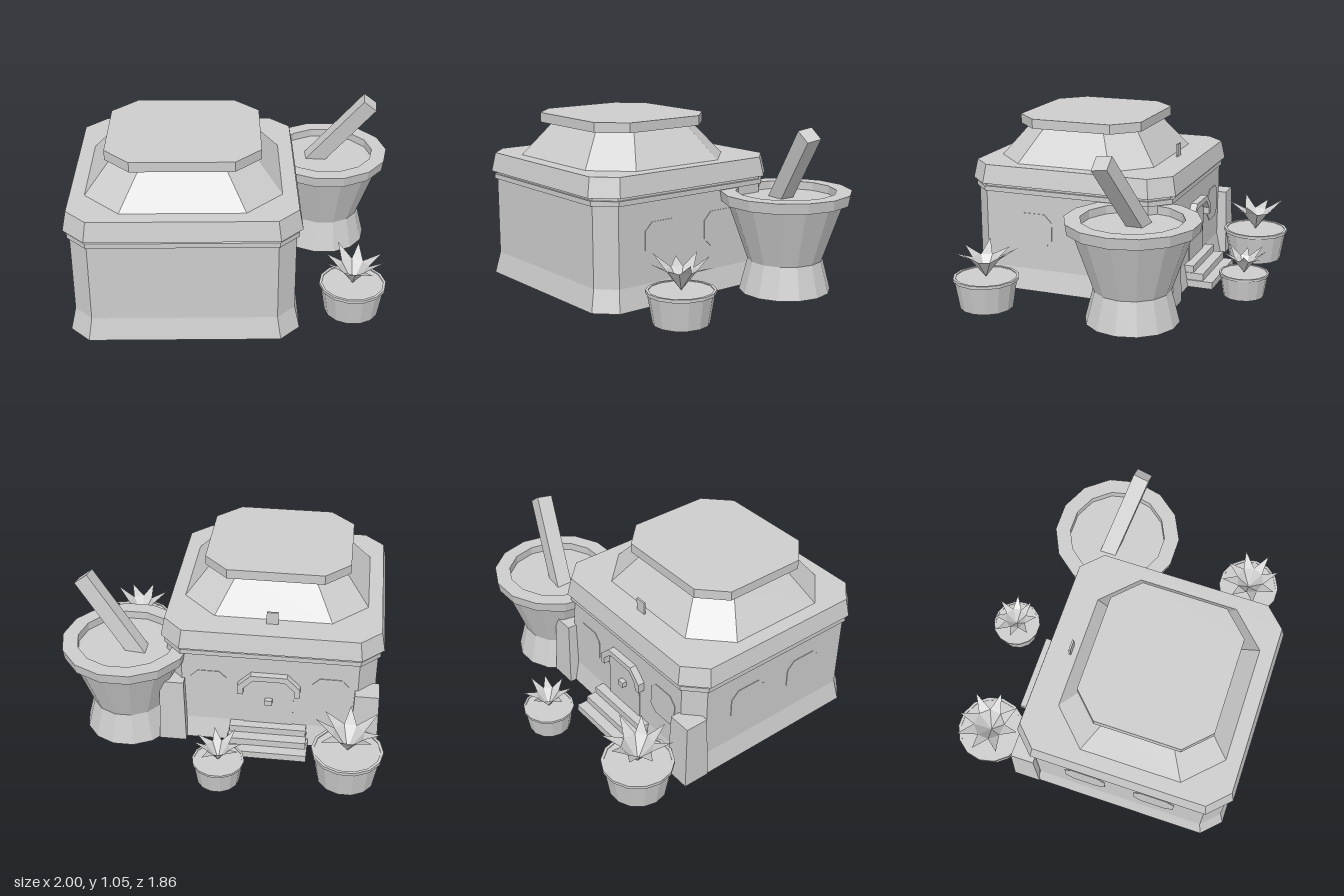
import * as THREE from 'three';

const stone = new THREE.MeshStandardMaterial({ color: 0xcccccc, flatShading: true, side: THREE.DoubleSide });
stone.name = 'light grey';

// Building centre in plan
const CX = -0.29, CZ = 0.255;

function add(parent, name, geometry, x = 0, y = 0, z = 0) {
  const mesh = new THREE.Mesh(geometry, stone);
  mesh.name = name;
  mesh.position.set(x, y, z);
  parent.add(mesh);
  return mesh;
}

// Rectangle with cut corners, counter-clockwise
function cutRect(hx, hy, c) {
  return [[hx, -hy + c], [hx, hy - c], [hx - c, hy], [-hx + c, hy],
    [-hx, hy - c], [-hx, -hy + c], [-hx + c, -hy], [hx - c, -hy]];
}

function triangles(points) {
  const g = new THREE.BufferGeometry();
  g.setAttribute('position', new THREE.Float32BufferAttribute(points.flat(), 3));
  g.computeVertexNormals();
  return g;
}

// Octagonal loft through sections [y, halfX, halfZ, cornerCut]
function loft(sections, capped = true) {
  const rings = sections.map(([y, hx, hz, c]) => cutRect(hx, hz, c).map(([x, z]) => [x, y, z]));
  const p = [];
  for (let k = 0; k < rings.length - 1; k++) {
    const a = rings[k], b = rings[k + 1];
    for (let i = 0; i < 8; i++) {
      const j = (i + 1) % 8;
      p.push(a[i], b[i], b[j], a[i], b[j], a[j]);
    }
  }
  if (capped) {
    const low = rings[0], high = rings[rings.length - 1];
    for (let i = 1; i < 7; i++) {
      p.push(low[0], low[i], low[i + 1]);
      p.push(high[0], high[i + 1], high[i]);
    }
  }
  return triangles(p);
}

function plate(points, depth) {
  const shape = new THREE.Shape(points.map(([x, y]) => new THREE.Vector2(x, y)));
  return new THREE.ExtrudeGeometry(shape, { depth, bevelEnabled: false });
}

function lathe(points, sides) {
  return new THREE.LatheGeometry(points.map(([r, y]) => new THREE.Vector2(r, y)), sides, Math.PI / 2);
}

function building() {
  const g = new THREE.Group();
  g.name = 'building';
  add(g, 'skirt', loft([[0, 0.67, 0.67, 0.115], [0.135, 0.64, 0.64, 0.105]], false), CX, 0, CZ);
  add(g, 'walls', loft([[0.135, 0.64, 0.64, 0.105], [0.67, 0.64, 0.64, 0.105]]), CX, 0, CZ);
  add(g, 'wallBand', loft([[0.62, 0.655, 0.655, 0.115], [0.65, 0.655, 0.655, 0.115]]), CX, 0, CZ);
  add(g, 'cornice', loft([[0.67, 0.675, 0.675, 0.13], [0.787, 0.652, 0.652, 0.122]]), CX, 0, CZ);
  add(g, 'roofSlope', loft([[0.787, 0.565, 0.517, 0.21], [0.99, 0.4, 0.36, 0.16]]), CX, 0, 0.3);
  add(g, 'roofCap', loft([[0.99, 0.445, 0.41, 0.15], [1.05, 0.445, 0.41, 0.15]]), CX, 0, 0.3);
  add(g, 'roofPlaque', new THREE.BoxGeometry(0.07, 0.08, 0.012), CX, 0.827, -0.26);

  // Windows on both sides and either side of the door
  const sidePane = plate(cutRect(0.128, 0.108, 0.05), 0.006);
  const backPane = plate(cutRect(0.11, 0.108, 0.045), 0.006);
  for (const s of [-1, 1]) {
    for (const t of [-1, 1]) {
      add(g, 'sideWindow', sidePane, CX + s * 0.638, 0.39, CZ + t * 0.222).rotation.y = s * Math.PI / 2;
    }
    add(g, 'backWindow', backPane, CX + s * 0.37, 0.39, CZ - 0.638).rotation.y = Math.PI;
    // Tapered pillar on each back corner
    const pillar = new THREE.CylinderGeometry(0.145 / Math.SQRT2, 0.17 / Math.SQRT2, 0.43, 4, 1);
    pillar.rotateY(Math.PI / 4);
    add(g, 'cornerPillar', pillar, CX + s * 0.59, 0.215, -0.37);
  }

  // Door with an angular hood and a handle
  add(g, 'door', plate([[-0.15, 0.13], [0.15, 0.13], [0.15, 0.41], [0.09, 0.47], [-0.09, 0.47], [-0.15, 0.41]], 0.008),
    CX, 0, CZ - 0.638).rotation.y = Math.PI;
  add(g, 'doorHood', plate([[0.19, 0.37], [0.19, 0.43], [0.11, 0.51], [-0.11, 0.51], [-0.19, 0.43], [-0.19, 0.37],
    [-0.155, 0.37], [-0.155, 0.415], [-0.095, 0.475], [0.095, 0.475], [0.155, 0.415], [0.155, 0.37]], 0.045),
    CX, 0, CZ - 0.638).rotation.y = Math.PI;
  add(g, 'doorHandle', new THREE.BoxGeometry(0.045, 0.035, 0.035), CX, 0.31, -0.405);

  // Three steps up to the door
  [[0.5, 0.575], [0.48, 0.51], [0.47, 0.445]].forEach(([w, z], i) => {
    const h = 0.045 * (i + 1);
    add(g, 'step', new THREE.BoxGeometry(w, h, z - 0.385), CX, h / 2, -(z + 0.385) / 2);
  });
  return g;
}

function mortarAndPestle() {
  const g = new THREE.Group();
  g.name = 'mortarAndPestle';
  add(g, 'mortarFoot', lathe([[0.28, 0], [0.23, 0.195]], 14));
  add(g, 'mortarBowl', lathe([[0, 0.195], [0.23, 0.195], [0.355, 0.55], [0.39, 0.55],
    [0.4, 0.615], [0.305, 0.615], [0.305, 0.565], [0, 0.565]], 14));
  // Leaning square pestle
  const dir = new THREE.Vector3(0.3, 0.39, 0.09).normalize();
  const side = new THREE.Vector3(0.39, -0.3, 0).normalize();
  const across = new THREE.Vector3().crossVectors(side, dir);
  const pestle = add(g, 'pestle', new THREE.BoxGeometry(0.1, 0.6, 0.1));
  pestle.quaternion.setFromRotationMatrix(new THREE.Matrix4().makeBasis(side, dir, across));
  pestle.position.set(0.265, 0.99, 0.082).addScaledVector(dir, -0.3);
  g.position.set(0.6, 0, -0.275);
  return g;
}

// Funnel of spiky leaves, each tip bending outwards
function leaves() {
  const n = 8, p = [];
  const at = (turn, r, y) => [r * Math.cos(turn), y, r * Math.sin(turn)];
  for (let i = 0; i < n; i++) {
    const a = i * 2 * Math.PI / n, b = (i + 1) * 2 * Math.PI / n;
    const left = at(a, 0.09, 0.3), right = at(b, 0.09, 0.3);
    const tip = at((a + b) / 2 + 0.12 * Math.sin(i * 5), 0.185 + 0.015 * Math.sin(i * 3), 0.355 + 0.018 * Math.cos(i * 4));
    p.push([0, 0.185, 0], left, right, left, tip, right);
  }
  return triangles(p);
}

function pottedPlant(x, z, size, turn) {
  const g = new THREE.Group();
  g.name = 'pottedPlant';
  add(g, 'pot', lathe([[0.162, 0], [0.19, 0.172], [0.199, 0.172], [0.199, 0.19], [0.183, 0.19], [0.183, 0.185], [0, 0.185]], 14));
  add(g, 'leaves', leaves()).rotation.y = turn;
  g.position.set(x, 0, z);
  g.scale.setScalar(size);
  return g;
}

export function createModel() {
  const model = new THREE.Group();
  model.name = 'mortarHouse';
  model.add(building(), mortarAndPestle(),
    pottedPlant(0.705, 0.625, 1, 0),
    pottedPlant(-0.785, -0.665, 1.075, 0.3),
    pottedPlant(-0.03, -0.78, 0.78, 0.6));
  return model;
}
